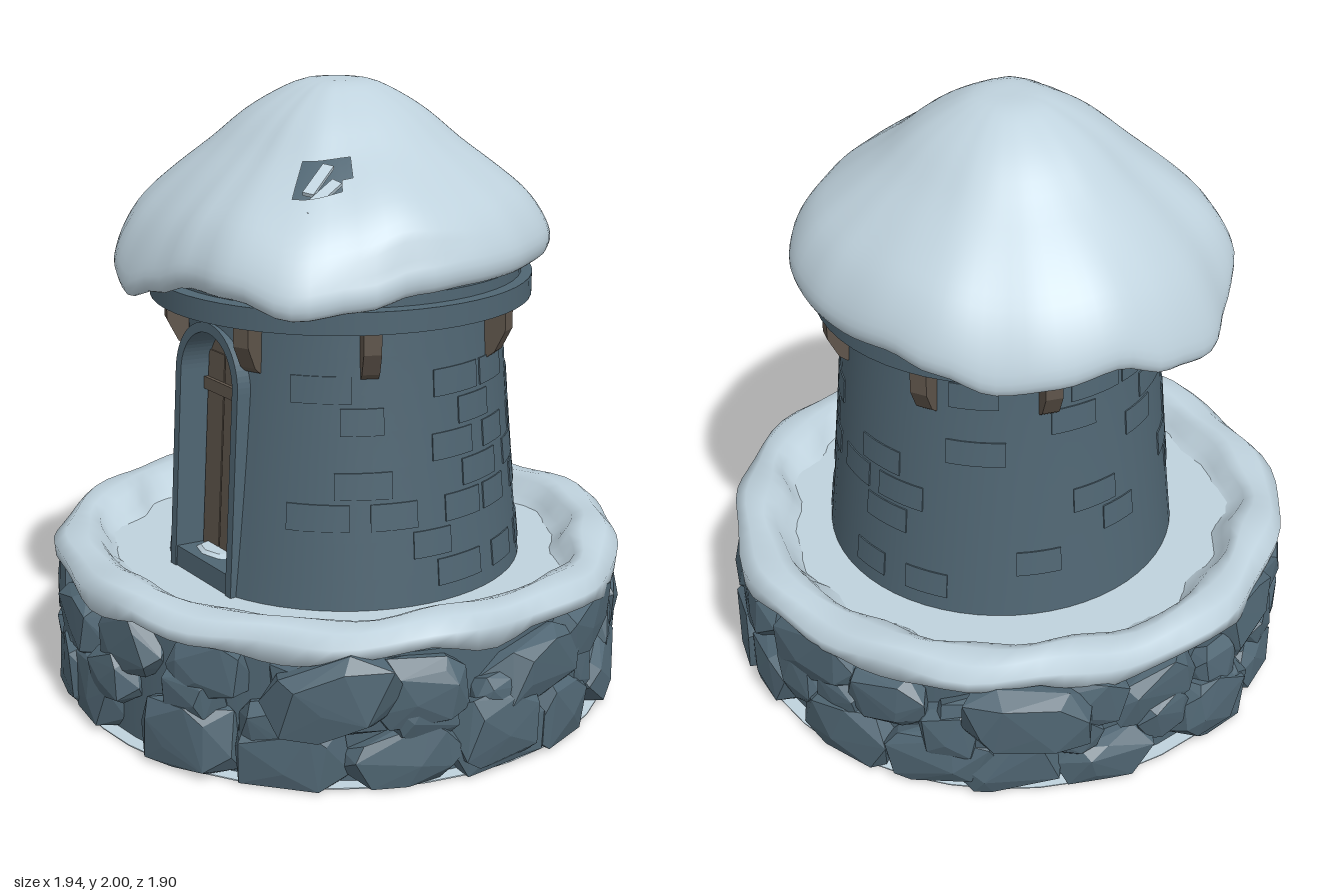
import * as THREE from 'three';
import { mergeGeometries } from 'three/addons/utils/BufferGeometryUtils.js';
import { ConvexGeometry } from 'three/addons/geometries/ConvexGeometry.js';

const mat = (name, color, side = THREE.FrontSide) => {
  const m = new THREE.MeshStandardMaterial({ color, side });
  m.name = name;
  return m;
};
const TAU = Math.PI * 2;

function seeded(seed) {
  return () => (seed = (seed * 16807) % 2147483647) / 2147483647;
}

// Surface wrapped around the vertical axis: one column per angle, rows running downwards.
function wrapSurface(angles, rows, point, skip = () => false) {
  const pos = [], index = [], n = angles.length;
  angles.forEach((a) => {
    for (let j = 0; j <= rows; j++) pos.push(...point(a, j / rows));
  });
  const id = (i, j) => (i % n) * (rows + 1) + j;
  for (let i = 0; i < n; i++) {
    for (let j = 0; j < rows; j++) {
      const a = id(i, j), b = id(i, j + 1), c = id(i + 1, j), d = id(i + 1, j + 1);
      if (skip((pos[a * 3] + pos[d * 3]) / 2, (pos[a * 3 + 2] + pos[d * 3 + 2]) / 2, j / rows)) continue;
      index.push(a, b, c, b, d, c);
    }
  }
  const g = new THREE.BufferGeometry();
  g.setAttribute('position', new THREE.Float32BufferAttribute(pos, 3));
  g.setIndex(index);
  g.computeVertexNormals();
  return g;
}
const circle = (n) => Array.from({ length: n }, (_, i) => (i / n) * TAU);

// Smoothly read a closed table spread evenly around the circle.
function around(table, a) {
  const n = table.length, t = ((a / TAU) * n + n) % n, i = Math.floor(t);
  const f = (1 - Math.cos((t - i) * Math.PI)) / 2;
  return table[i % n] * (1 - f) + table[(i + 1) % n] * f;
}

const wallRadius = (y) => 0.512 + 0.075 * Math.pow(Math.max(0, 1.34 - y) / 0.9, 1.3);

function archShape(halfWidth, spring, target = new THREE.Shape()) {
  target.moveTo(-halfWidth, 0);
  target.lineTo(halfWidth, 0);
  target.lineTo(halfWidth, spring);
  target.absarc(0, spring, halfWidth, 0, Math.PI, false);
  target.lineTo(-halfWidth, 0);
  return target;
}

export function createModel() {
  const root = new THREE.Group();
  root.name = 'snowyTower';
  const slate = mat('slate', 0x506673);
  const snow = mat('snow', 0xbfd2dd, THREE.DoubleSide);
  const wood = mat('wood', 0x5f554b);
  const add = (parent, name, geometry, material, x = 0, y = 0, z = 0) => {
    const m = new THREE.Mesh(geometry, material);
    m.name = name;
    m.position.set(x, y, z);
    parent.add(m);
    return m;
  };

  // Foundation: a core ringed with irregular boulders, on a pale flat base
  add(root, 'foundationCore', new THREE.CylinderGeometry(0.87, 0.87, 0.41, 48), slate, 0, 0.21, 0);
  add(root, 'underside', new THREE.CylinderGeometry(0.915, 0.915, 0.004, 40), snow, 0, 0.002, 0);
  const rnd = seeded(4217);
  const rocks = [];
  const rock = (a, y, r, w, h, d) => {
    const pts = [];
    const tilt = (rnd() - 0.5) * 0.7;
    for (let k = 0; k < 22; k++) {
      const up = 1 - (2 * (k + 0.5)) / 22, t = k * 2.4 + rnd() * 0.7;
      const ring = Math.sqrt(1 - up * up);
      const box = (v) => Math.sign(v) * Math.pow(Math.abs(v), 0.6) * (0.85 + rnd() * 0.23);
      const u = box(ring * Math.cos(t)) * w / 2, v = box(up) * h / 2, q = box(ring * Math.sin(t)) * d / 2;
      const side = u * Math.cos(tilt) - v * Math.sin(tilt);
      const py = THREE.MathUtils.clamp(y + v * Math.cos(tilt) + u * Math.sin(tilt), 0.005, 0.455);
      pts.push(new THREE.Vector3(
        (r + q) * Math.sin(a) + side * Math.cos(a), py, (r + q) * Math.cos(a) - side * Math.sin(a)));
    }
    rocks.push(new ConvexGeometry(pts));
  };
  const rows = [
    { y: 0.1, r: 0.865, w: 0.36, h: 0.25, d: 0.16, off: 0 },
    { y: 0.32, r: 0.86, w: 0.35, h: 0.24, d: 0.16, off: 0.5 },
    { y: 0.21, r: 0.87, w: 0.24, h: 0.2, d: 0.13, off: 0.25 },
  ];
  rows.forEach(({ y, r, w, h, d, off }) => {
    for (let i = 0; i < 17; i++) {
      rock(((i + off + (rnd() - 0.5) * 0.5) / 17) * TAU, y + (rnd() - 0.5) * 0.08,
        r + rnd() * 0.02, w * (0.75 + rnd() * 0.4), h * (0.8 + rnd() * 0.4), d);
    }
  });
  // A few boulders that stand proud of the ring
  [[0.94, 0.31], [-2.24, 0.33], [-1.5, 0.13], [1.52, 0.14]].forEach(([a, y], i) =>
    rock(a, y, i < 2 ? 0.93 : 0.89, i < 2 ? 0.42 : 0.33, 0.25, 0.17));
  add(root, 'foundationStones', mergeGeometries(rocks), slate);

  // Snow lying on the terrace and heaped along its rim
  add(root, 'terraceSnow', new THREE.CylinderGeometry(0.84, 0.84, 0.03, 48), snow, 0, 0.422, 0);
  const section = [[-0.13, 0.43], [-0.09, 0.455], [-0.06, 0.505], [-0.02, 0.522], [0.045, 0.515],
    [0.085, 0.48], [0.08, 0.44], [0.03, 0.42], [-0.13, 0.43]];
  add(root, 'rimSnow', wrapSurface(circle(80), section.length - 1, (a, v) => {
    const [dr, y] = section[Math.round(v * (section.length - 1))];
    const outer = Math.max(0, dr) / 0.085, inner = Math.max(0, -dr) / 0.1;
    const r = 0.857 + dr + 0.01 * Math.sin(7 * a) + 0.008 * Math.sin(13 * a + dr * 25)
      + 0.012 * inner * Math.sin(17 * a + 2);
    const wave = 0.009 * Math.sin(5 * a + 1) + 0.007 * Math.sin(11 * a);
    const droop = y < 0.45 ? -0.035 * outer * Math.max(0, Math.sin(9 * a + 1)) : 0;
    return [r * Math.sin(a), y + (dr < -0.12 ? 0 : wave) + droop, r * Math.cos(a)];
  }), snow);

  const tower = new THREE.Group();
  tower.name = 'tower';
  tower.position.set(0.02, 0, -0.012);
  root.add(tower);

  // Tapered wall with an arched doorway left open
  const edge = Math.asin(0.165 / 0.55), angles = [];
  for (let i = 0; i <= 18; i++) angles.push(-edge + (2 * edge * i) / 18);
  for (let i = 0; i <= 56; i++) angles.push(edge + 1e-4 + ((TAU - 2 * edge - 2e-4) * i) / 56);
  add(tower, 'wall', wrapSurface(angles, 8, (a, v) => {
    const x = 0.55 * Math.sin(a);
    const bottom = a <= edge ? 1.1 + Math.sqrt(Math.max(0, 0.165 ** 2 - x * x)) : 0.42;
    const y = 1.345 + (bottom - 1.345) * v, r = wallRadius(y);
    return [r * Math.sin(a), y, r * Math.cos(a)];
  }), slate);

  // Slightly raised bricks bent around the wall
  const bricks = [];
  for (let row = 0; row < 8; row++) {
    for (let i = 0; i < 16; i++) {
      const a0 = ((i + (row % 2) / 2 + rnd() * 0.3) / 16) * TAU, len = 0.12 + rnd() * 0.08;
      const fromDoor = Math.abs(Math.atan2(Math.sin(a0), Math.cos(a0)));
      if (rnd() > 0.4 || fromDoor < 0.36 + len) continue;
      const g = new THREE.BoxGeometry(len, 0.085, 0.02, 5, 1, 1), p = g.attributes.position;
      for (let k = 0; k < p.count; k++) {
        const a = a0 + p.getX(k) / 0.55, y = 0.53 + row * 0.1 + p.getY(k);
        const r = wallRadius(y) + p.getZ(k) - 0.006;
        p.setXYZ(k, r * Math.sin(a), y, r * Math.cos(a));
      }
      g.computeVertexNormals();
      bricks.push(g);
    }
  }
  add(tower, 'bricks', mergeGeometries(bricks), slate);

  // Doorway: stone arch, recessed plank door, strap, knob and snowy step
  const doorway = new THREE.Group();
  doorway.name = 'doorway';
  doorway.position.set(0.008, 0.42, 0.575);
  doorway.rotation.x = -0.058;
  tower.add(doorway);
  const frame = archShape(0.185, 0.68);
  frame.holes.push(archShape(0.153, 0.68, new THREE.Path()));
  const extrude = (shape, depth) =>
    new THREE.ExtrudeGeometry(shape, { depth, bevelEnabled: false, curveSegments: 16 });
  add(doorway, 'doorFrame', extrude(frame, 0.17), slate, 0, 0, -0.17);
  add(doorway, 'door', extrude(archShape(0.157, 0.68), 0.03), wood, 0, 0, -0.135);
  [-0.1, 0, 0.1].forEach((x) =>
    add(doorway, 'plank', new THREE.BoxGeometry(0.094, 0.74, 0.006), wood, x, 0.37, -0.103));
  add(doorway, 'doorStrap', new THREE.BoxGeometry(0.19, 0.04, 0.016), wood, -0.055, 0.63, -0.094);
  add(doorway, 'doorKnob', new THREE.SphereGeometry(0.022, 12, 8), wood, 0.115, 0.51, -0.08);
  add(doorway, 'doorStep', new THREE.BoxGeometry(0.32, 0.085, 0.15), slate, 0, 0.042, -0.08);
  add(doorway, 'stepSnow', new THREE.CylinderGeometry(0.07, 0.09, 0.012, 7), snow, -0.05, 0.09, -0.09)
    .scale.z = 0.6;

  // Stone ledge carried on wooden brackets, dusted with snow
  add(tower, 'ledge', new THREE.CylinderGeometry(0.617, 0.617, 0.07, 56), slate, 0.008, 1.365, 0.02);
  add(tower, 'upperLedge', new THREE.CylinderGeometry(0.58, 0.58, 0.035, 56), slate, 0, 1.417, 0.01);
  add(tower, 'ledgeSnow', new THREE.CylinderGeometry(0.56, 0.57, 0.035, 56), snow, 0, 1.451, 0.01);
  const profile = new THREE.Shape([[0.48, 1.335], [0.585, 1.335], [0.585, 1.255], [0.55, 1.185],
    [0.525, 1.165], [0.48, 1.165]].map(([x, y]) => new THREE.Vector2(x, y)));
  const bracket = extrude(profile, 0.055).translate(0, 0, -0.0275);
  [22.5, 63, 116, 157].forEach((deg) => [-1, 1].forEach((side) => {
    add(tower, 'bracket', bracket, wood).rotation.y = (side * deg / 360) * TAU - Math.PI / 2;
  }));

  // Roof hidden beneath the snow, seen through the torn patch
  const roofLine = [[0.56, 1.46], [0.53, 1.6], [0.44, 1.7], [0.2, 1.86], [0, 1.9]]
    .map(([x, y]) => new THREE.Vector2(x, y));
  add(tower, 'roof', new THREE.LatheGeometry(roofLine, 32), slate);

  // Roof snow: edge height and reach every 15 degrees, starting at the front
  const edgeY = [1.4, 1.45, 1.45, 1.4, 1.42, 1.46, 1.47, 1.47, 1.47, 1.47, 1.45, 1.43,
    1.42, 1.43, 1.4, 1.35, 1.37, 1.4, 1.34, 1.31, 1.34, 1.42, 1.39, 1.35];
  const reach = [0.69, 0.7, 0.75, 0.78, 0.73, 0.7, 0.69, 0.68, 0.67, 0.68, 0.69, 0.68,
    0.67, 0.67, 0.69, 0.7, 0.71, 0.71, 0.73, 0.74, 0.71, 0.72, 0.72, 0.71];
  const cap = new THREE.SplineCurve([[0, 2], [0.15, 1.996], [0.28, 1.957], [0.42, 1.895], [0.57, 1.805],
    [0.73, 1.715], [0.87, 1.625], [0.955, 1.54], [1, 1.46], [0.985, 1.412], [0.94, 1.415], [0.86, 1.45],
    [0.7, 1.465]].map(([x, y]) => new THREE.Vector2(x, y)));
  add(root, 'roofSnow', wrapSurface(circle(96), 36, (a, v) => {
    const p = cap.getPoint(v), r = p.x * around(reach, a);
    const x = r * Math.sin(a), z = r * Math.cos(a);
    const bump = v < 0.6 ? 0.04 * Math.exp(-((x - 0.55) ** 2 + (z - 0.2) ** 2) / 0.03) : 0;
    return [x, p.y + (around(edgeY, a) - 1.41) * p.x ** 4 + bump, z];
  }, (x, z, v) => v < 0.6 && Math.hypot((x - 0.38) * 1.1, (z - 0.32) * 0.7) < 0.07), snow);

  // Ragged strips of snow across the torn patch
  [[0.34, 1.755, 0.31, 0.5], [0.41, 1.72, 0.35, 0.2]].forEach(([x, y, z, turn]) => {
    const strip = add(root, 'snowStrip', new THREE.BoxGeometry(0.035, 0.012, 0.16), snow, x, y, z);
    strip.rotation.set(0.45, turn, -0.4);
  });
  return root;
}
